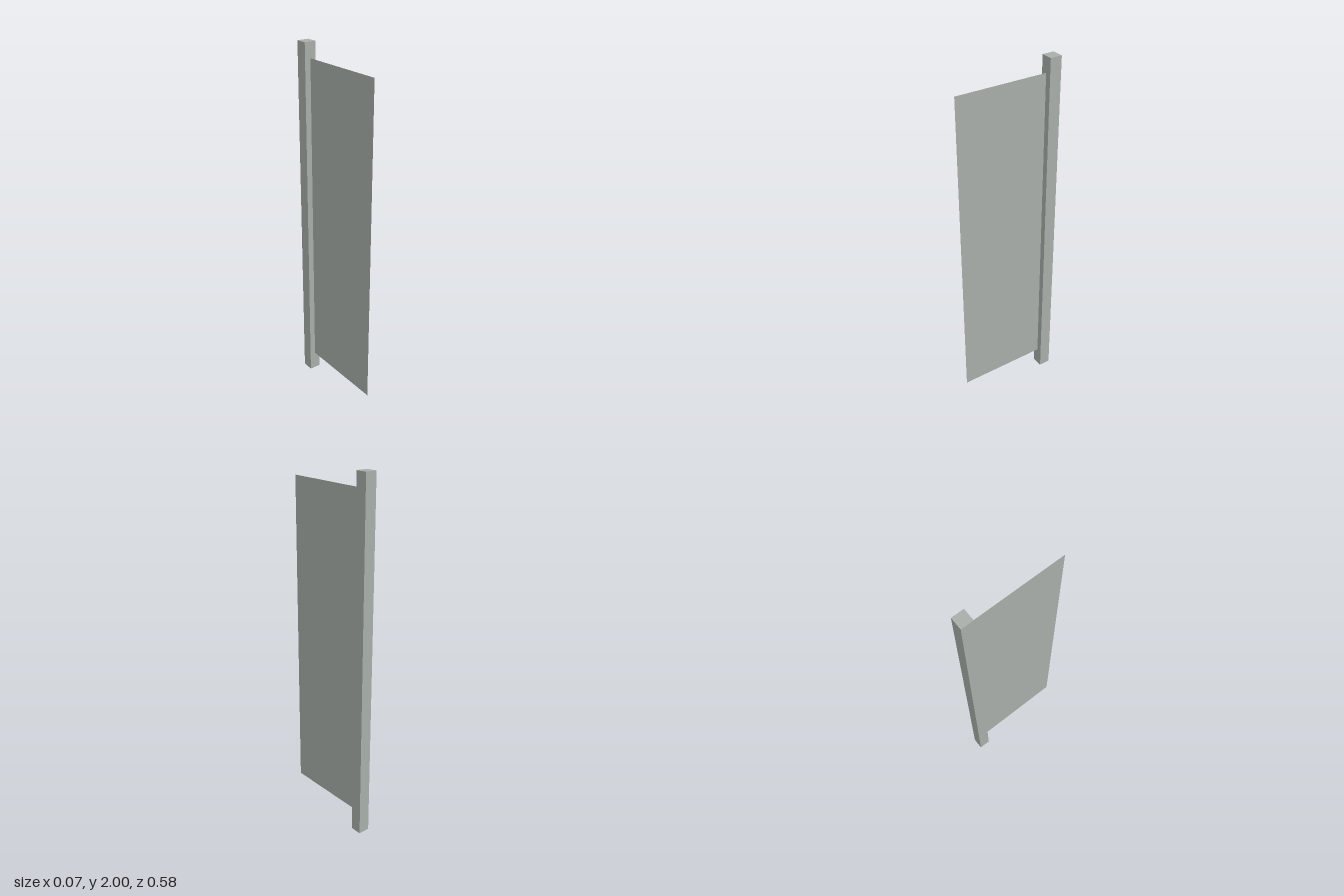
import * as THREE from 'three';

export function createModel() {
  const model = new THREE.Group();
  const greyMetal = new THREE.MeshStandardMaterial({ color: 0xa8aeaa, side: THREE.DoubleSide });
  greyMetal.name = 'greyMetal';

  const postSize = 0.066;
  const back = -0.291, front = 0.291;

  // Square upright post at the back, full height
  const post = new THREE.Mesh(new THREE.BoxGeometry(postSize, 2, postSize), greyMetal);
  post.name = 'post';
  post.position.set(0, 1, back + postSize / 2);

  // Sheet panel of no thickness, running forward from the post's front face
  const bottom = 0.105, top = 1.916;
  const start = back + postSize;
  const panel = new THREE.Mesh(new THREE.PlaneGeometry(front - start, top - bottom), greyMetal);
  panel.name = 'panel';
  panel.rotation.y = Math.PI / 2;
  panel.position.set(0, (top + bottom) / 2, (front + start) / 2);

  model.add(post, panel);
  return model;
}
